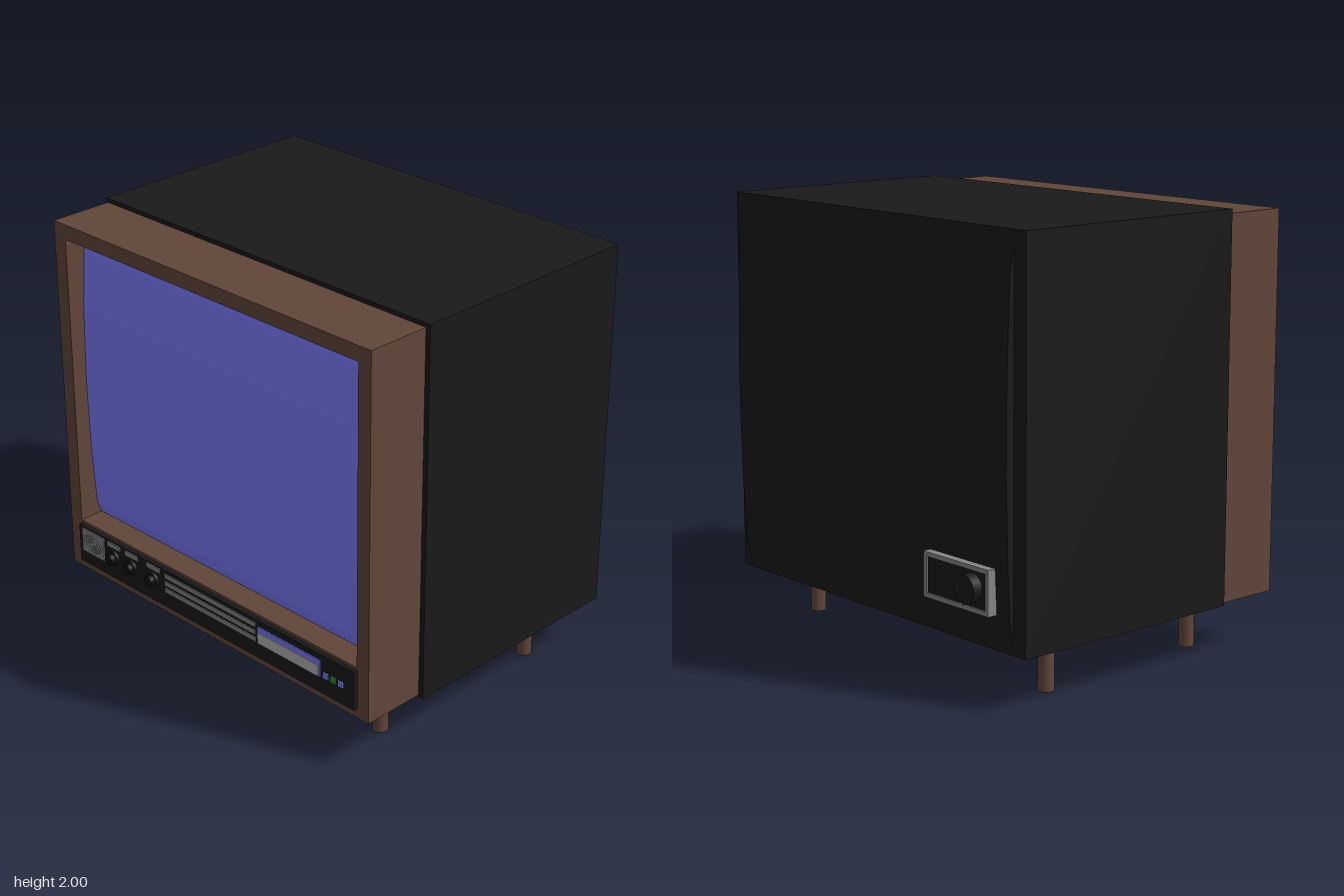
import * as THREE from 'three';

const mat = (color) => new THREE.MeshStandardMaterial({ color });
const black = mat(0x1a1a1a), brown = mat(0x614639), blue = mat(0x7c7cff);
const grey = mat(0x858585), pale = mat(0xb4b4b4), green = mat(0x2f9a3a), dark = mat(0x0e0e0e);

export function createModel() {
  const root = new THREE.Group();

  const add = (name, geometry, material) => {
    const mesh = new THREE.Mesh(geometry, material);
    mesh.name = name;
    root.add(mesh);
    return mesh;
  };

  // Box given by its two extreme corners
  const box = (name, material, x0, x1, y0, y1, z0, z1) =>
    add(name, new THREE.BoxGeometry(x1 - x0, y1 - y0, z1 - z0), material)
      .position.set((x0 + x1) / 2, (y0 + y1) / 2, (z0 + z1) / 2);

  // Cylinder lying along z
  const disc = (name, material, x, y, z0, z1, r, sides = 16) => {
    const g = new THREE.CylinderGeometry(r, r, z1 - z0, sides).rotateX(Math.PI / 2);
    add(name, g, material).position.set(x, y, (z0 + z1) / 2);
  };

  // Faceted bulging slab: profile of [z, y] points swept across x
  const bulge = (name, material, x0, x1, profile) => {
    const shape = new THREE.Shape(profile.map(([z, y]) => new THREE.Vector2(z, y)));
    const g = new THREE.ExtrudeGeometry(shape, { depth: x1 - x0, bevelEnabled: false });
    g.rotateY(-Math.PI / 2).translate(x1, 0, 0);
    add(name, g, material);
  };

  const rect = (path, x0, x1, y0, y1) =>
    path.moveTo(x0, y0).lineTo(x1, y0).lineTo(x1, y1).lineTo(x0, y1).closePath();

  // Slab with a rectangular opening; each rectangle is [x0, x1, y0, y1]
  const frame = (name, material, outer, inner, z0, z1) => {
    const shape = rect(new THREE.Shape(), ...outer);
    shape.holes.push(rect(new THREE.Path(), ...inner));
    const g = new THREE.ExtrudeGeometry(shape, { depth: z1 - z0, bevelEnabled: false });
    add(name, g.translate(0, 0, z0), material);
  };

  // Cabinet with bulging back
  box('cabinet', black, -0.99, 0.99, 0.24, 2, -0.722, 0.46);
  bulge('backPanel', black, -0.915, 0.945, [
    [-0.7, 0.28], [-0.722, 0.28], [-0.742, 0.39], [-0.754, 0.66], [-0.762, 0.98],
    [-0.762, 1.24], [-0.754, 1.55], [-0.742, 1.83], [-0.722, 1.93], [-0.7, 1.93],
  ]);

  // Wooden front frame and curved screen
  frame('frontFrame', brown, [-0.98, 0.965, 0.25, 1.98], [-0.905, 0.895, 0.5, 1.91], 0.46, 0.77);
  bulge('screen', blue, -0.904, 0.894, [
    [0.5, 0.501], [0.65, 0.501], [0.672, 0.56], [0.69, 0.83], [0.698, 1.2],
    [0.69, 1.56], [0.672, 1.82], [0.65, 1.909], [0.5, 1.909],
  ]);

  // Control strip
  box('controlPanel', black, -0.9, 0.9, 0.295, 0.487, 0.76, 0.79);
  box('speaker', grey, -0.875, -0.72, 0.36, 0.48, 0.78, 0.796);
  for (const r of [0.012, 0.026, 0.04]) {
    const ring = add('speakerRing', new THREE.TorusGeometry(r, 0.004, 6, 24), grey);
    ring.position.set(-0.797, 0.422, 0.798);
    ring.scale.x = 1.5;
  }
  for (const x of [-0.65, -0.525, -0.375]) {
    box('knobLabel', grey, x - 0.045, x + 0.045, 0.455, 0.48, 0.78, 0.795);
    disc('knobBase', black, x, 0.408, 0.78, 0.805, 0.036);
    disc('knob', dark, x, 0.408, 0.8, 0.828, 0.026);
  }
  for (const y of [0.385, 0.42, 0.458])
    box('grilleBar', grey, -0.295, 0.3, y - 0.011, y + 0.011, 0.78, 0.795);
  box('display', blue, 0.315, 0.7, 0.375, 0.457, 0.78, 0.796);
  box('displayFace', pale, 0.32, 0.695, 0.377, 0.432, 0.79, 0.8);
  [[0.735, blue], [0.78, green], [0.823, blue]].forEach(([x, m]) =>
    box('indicatorLight', m, x - 0.014, x + 0.014, 0.38, 0.407, 0.78, 0.798));

  // Rear connection plate with knob
  frame('rearPlateFrame', grey, [-0.835, -0.42, 0.4, 0.6], [-0.815, -0.44, 0.42, 0.58], -0.79, -0.74);
  box('rearPlate', black, -0.815, -0.44, 0.42, 0.58, -0.782, -0.74);
  disc('rearKnob', black, -0.725, 0.503, -0.828, -0.77, 0.065, 20);

  // Legs: [x, z, foot height]
  for (const [x, z, foot] of [[0.77, 0.49, 0], [-0.795, 0.425, 0.022], [0.81, -0.43, 0], [-0.795, -0.43, 0]]) {
    const h = 0.27 - foot;
    add('leg', new THREE.CylinderGeometry(0.036, 0.036, h, 16), brown).position.set(x, foot + h / 2, z);
  }

  return root;
}
